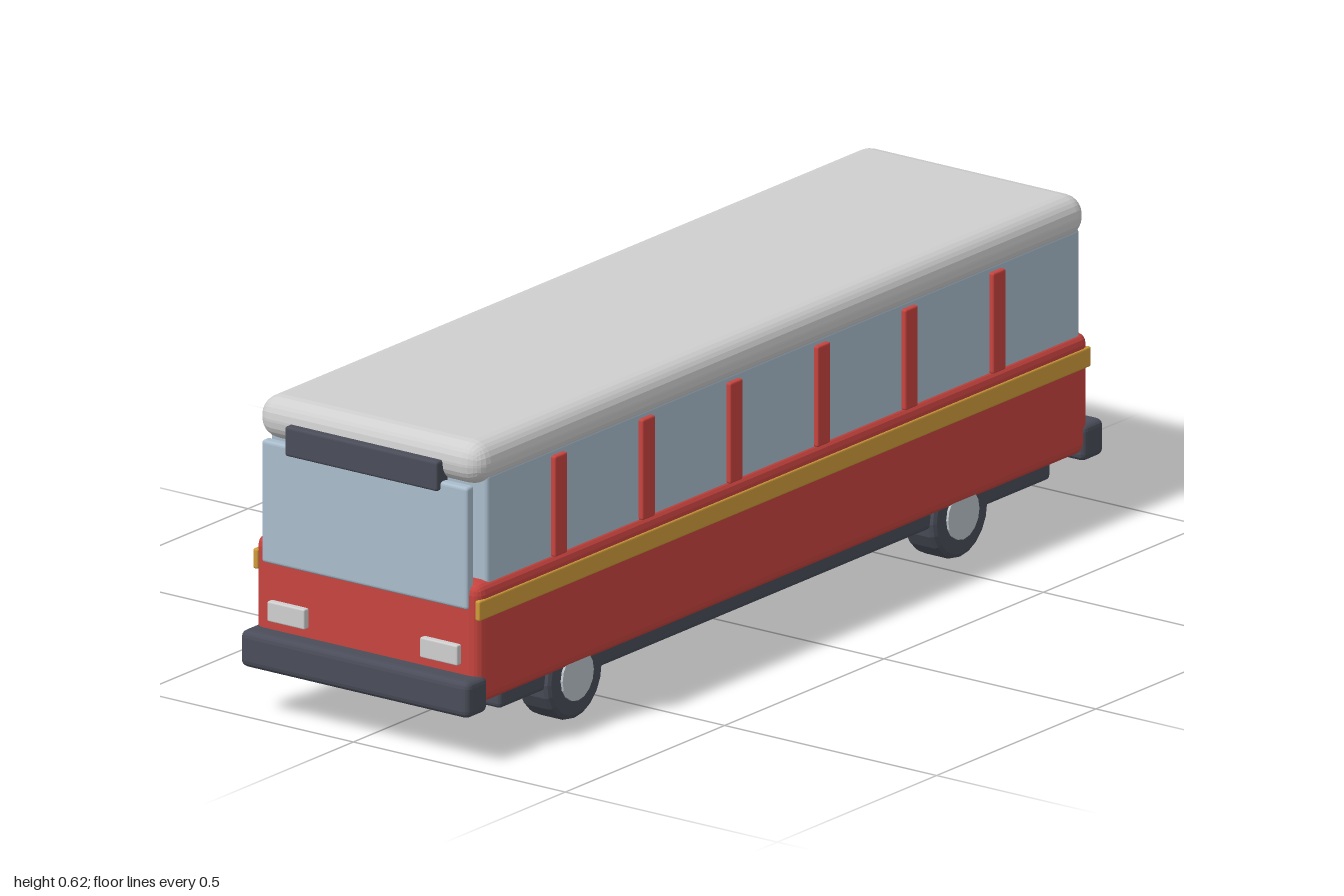
import * as THREE from 'three';
import { RoundedBoxGeometry } from 'three/addons/geometries/RoundedBoxGeometry.js';

function paint(name, color) {
  const m = new THREE.MeshStandardMaterial({ color, flatShading: true });
  m.name = name;
  return m;
}

export function createModel() {
  const bus = new THREE.Group();
  bus.name = 'bus';

  const red = paint('red', 0xc8443f);
  const grey = paint('light grey', 0xcfcfcf);
  const glass = paint('glass blue', 0xa9bccc);
  const dark = paint('charcoal', 0x4a4d59);
  const yellow = paint('yellow', 0xcf9c3a);
  const hubGrey = paint('hub grey', 0xbcc5cc);

  // Rounded block given by its limits on each axis
  function block(name, material, [x0, x1], [y0, y1], [z0, z1], radius, segments = 2) {
    const geo = new RoundedBoxGeometry(x1 - x0, y1 - y0, z1 - z0, segments, radius);
    const mesh = new THREE.Mesh(geo, material);
    mesh.name = name;
    mesh.position.set((x0 + x1) / 2, (y0 + y1) / 2, (z0 + z1) / 2);
    bus.add(mesh);
    return mesh;
  }

  // Main volumes
  block('chassis', dark, [-0.245, 0.245], [0.077, 0.14], [-0.865, 0.865], 0.01);
  block('lowerBody', red, [-0.265, 0.265], [0.11, 0.35], [-0.96, 0.96], 0.022);
  block('windowBand', glass, [-0.256, 0.256], [0.32, 0.56], [-0.94, 0.92], 0.008);
  block('roof', grey, [-0.265, 0.265], [0.54, 0.625], [-0.96, 0.96], 0.04, 3);

  // Front details
  block('windscreen', glass, [-0.243, 0.243], [0.3, 0.543], [0.943, 0.966], 0.006);
  block('destinationSign', dark, [-0.18, 0.18], [0.526, 0.585], [0.94, 0.977], 0.005);

  // Bumpers
  block('frontBumper', dark, [-0.27, 0.27], [0.096, 0.169], [0.933, 1], 0.014);
  block('rearBumper', dark, [-0.27, 0.27], [0.096, 0.169], [-1, -0.933], 0.014);

  // Tyre and hub profiles, turned about the axle
  const tyreProfile = [
    [0.045, -0.038], [0.078, -0.038], [0.085, -0.034], [0.088, -0.026],
    [0.088, 0.026], [0.085, 0.034], [0.078, 0.038], [0.045, 0.038],
  ].map(([r, h]) => new THREE.Vector2(r, h));
  const tyreGeo = new THREE.LatheGeometry(tyreProfile, 20).rotateZ(-Math.PI / 2);
  const hubGeo = new THREE.CylinderGeometry(0.049, 0.049, 0.086, 16).rotateZ(-Math.PI / 2);

  // Parts mirrored on both sides
  for (const side of [1, -1]) {
    const label = side > 0 ? 'left' : 'right';
    const span = (a, b) => (side > 0 ? [a, b] : [-b, -a]);

    block(label + 'Stripe', yellow, span(0.256, 0.268), [0.281, 0.321], [-0.96, 0.96], 0.004);
    block(label + 'Headlight', grey, span(0.136, 0.224), [0.188, 0.228], [0.95, 0.973], 0.003);
    block(label + 'TailLight', red, span(0.152, 0.214), [0.19, 0.275], [-0.974, -0.95], 0.004);

    // Window pillars
    for (let i = 0; i < 6; i++) {
      const z = 0.7 - i * 0.275;
      block(label + 'Pillar' + (i + 1), red, span(0.245, 0.266), [0.345, 0.545], [z - 0.02, z + 0.02], 0.004);
    }

    // Wheels
    for (const [end, z] of [['Front', 0.64], ['Rear', -0.57]]) {
      const wheel = new THREE.Group();
      wheel.name = label + end + 'Wheel';
      const tyre = new THREE.Mesh(tyreGeo, dark);
      tyre.name = 'tyre';
      const hub = new THREE.Mesh(hubGeo, hubGrey);
      hub.name = 'hub';
      wheel.add(tyre, hub);
      wheel.position.set(side * 0.217, 0.088, z);
      bus.add(wheel);
    }
  }
  return bus;
}
